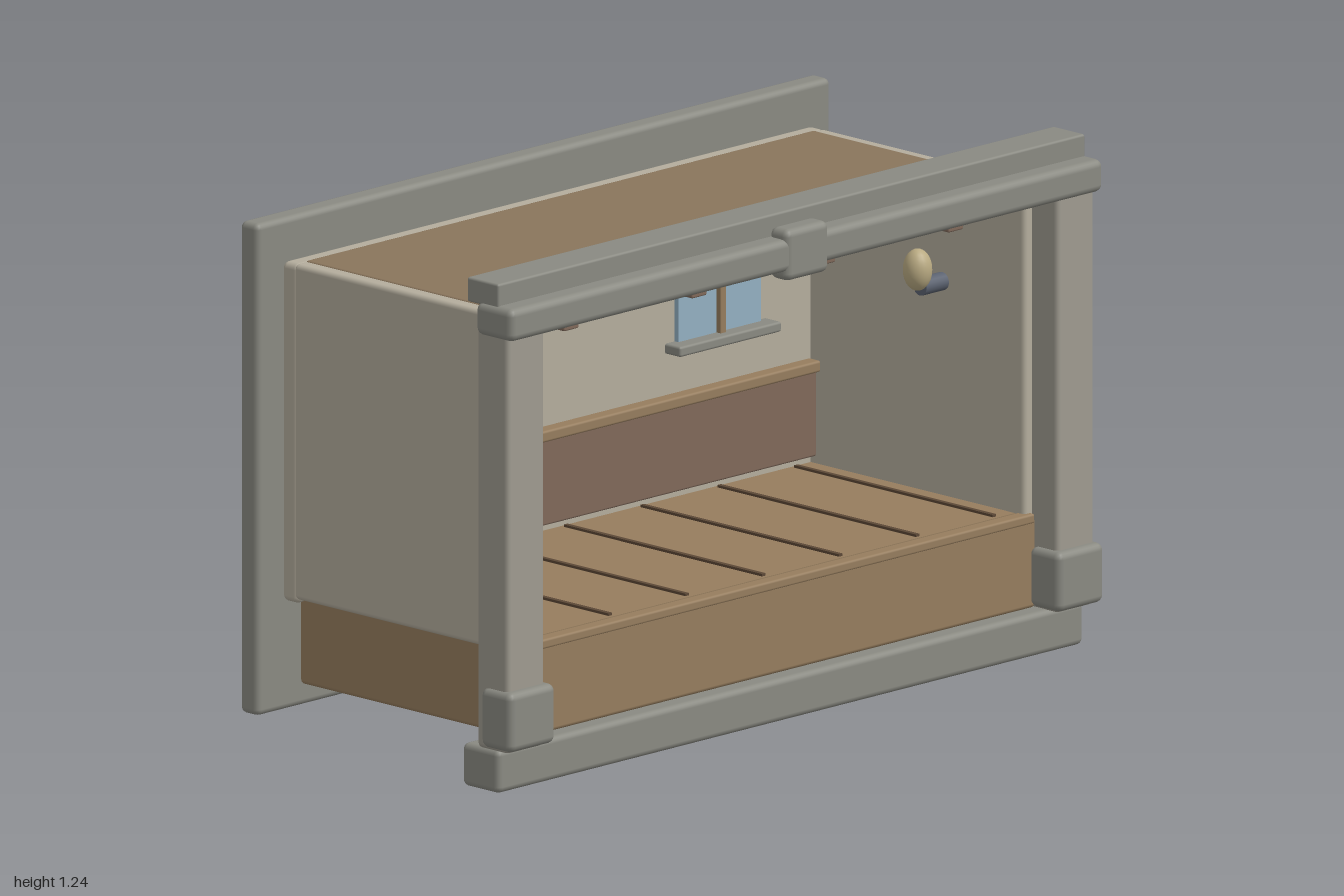
import * as THREE from 'three';
import { RoundedBoxGeometry } from 'three/addons/geometries/RoundedBoxGeometry.js';

const mat = (color) => new THREE.MeshStandardMaterial({ color });
const stone = mat(0x8a8a82), paleStone = mat(0x9f9b90), plaster = mat(0xb4ad9d);
const wood = mat(0x967d5e), panelWood = mat(0x80695a), ceilingWood = mat(0x8a755c), seamWood = mat(0x5c4836);
const glassBlue = mat(0x93b0c2), metal = mat(0x5b6270), bulbCream = mat(0xb9aa82);

export function createModel() {
  const model = new THREE.Group();

  const add = (name, geometry, material, parent = model) => {
    const mesh = new THREE.Mesh(geometry, material);
    mesh.name = name;
    parent.add(mesh);
    return mesh;
  };
  // Box given by its extents; r > 0 rounds the edges
  const box = (name, material, [x0, x1], [y0, y1], [z0, z1], r = 0, parent = model) => {
    const size = [x1 - x0, y1 - y0, z1 - z0];
    const geometry = r ? new RoundedBoxGeometry(...size, 2, r) : new THREE.BoxGeometry(...size);
    const mesh = add(name, geometry, material, parent);
    mesh.position.set((x0 + x1) / 2, (y0 + y1) / 2, (z0 + z1) / 2);
    return mesh;
  };
  // Same box on both sides, x measured outwards from the middle
  const pair = (name, material, [x0, x1], y, z, r) => {
    box(name + 'Left', material, [x0, x1], y, z, r);
    box(name + 'Right', material, [-x1, -x0], y, z, r);
  };

  // Room shell
  box('floorBase', wood, [-0.86, 0.86], [0.105, 0.325], [-0.365, 0.37], 0.01);
  box('backWall', plaster, [-0.885, 0.885], [0.305, 1.13], [-0.4, -0.345], 0.015);
  pair('sideWall', plaster, [0.83, 0.885], [0.315, 1.13], [-0.36, 0.36], 0.012);
  box('ceiling', ceilingWood, [-0.85, 0.85], [1.08, 1.133], [-0.355, 0.365], 0.006);
  box('backPanel', stone, [-0.96, 0.96], [0.035, 1.23], [-0.465, -0.405], 0.015);

  // Floor boards with dark seams
  box('floorBoards', wood, [-0.83, 0.83], [0.315, 0.332], [-0.345, 0.33]);
  box('floorFrontTrim', wood, [-0.855, 0.855], [0.31, 0.334], [0.335, 0.372], 0.006);
  for (let i = -3; i <= 3; i++) {
    const x = i * 0.257;
    box('floorSeam', seamWood, [x - 0.006, x + 0.006], [0.328, 0.338], [-0.335, 0.32]);
  }

  // Wainscot on the back wall
  box('wainscot', panelWood, [-0.83, 0.83], [0.35, 0.56], [-0.35, -0.325], 0.005);
  box('wainscotRail', wood, [-0.83, 0.83], [0.557, 0.585], [-0.35, -0.31], 0.006);

  // Ceiling beams
  for (const x of [-0.643, -0.215, 0.215, 0.643])
    box('ceilingBeam', panelWood, [x - 0.025, x + 0.025], [1.05, 1.09], [-0.34, 0.32], 0.004);

  // Arched windows
  for (const side of [-1, 1]) {
    const win = new THREE.Group();
    win.name = side > 0 ? 'windowLeft' : 'windowRight';
    win.position.set(side * 0.513, 0, -0.345);
    model.add(win);
    box('glass', glassBlue, [-0.138, 0.138], [0.7, 0.99], [-0.01, 0.012], 0, win);
    const arch = add('glassArch', new THREE.CylinderGeometry(0.133, 0.133, 0.02, 32), glassBlue, win);
    arch.rotation.x = Math.PI / 2;
    arch.position.set(0, 0.932, 0);
    box('uprightBar', wood, [-0.01, 0.01], [0.68, 1.06], [0, 0.026], 0.003, win);
    box('crossBar', wood, [-0.138, 0.138], [0.838, 0.856], [0, 0.024], 0.003, win);
    box('windowSill', stone, [-0.17, 0.17], [0.685, 0.71], [-0.01, 0.05], 0.006, win);
  }

  // Wall lamps
  for (const side of [-1, 1]) {
    const lamp = new THREE.Group();
    lamp.name = side > 0 ? 'lampLeft' : 'lampRight';
    lamp.position.z = 0.09;
    model.add(lamp);
    const arm = add('lampArm', new THREE.CylinderGeometry(0.022, 0.022, 0.09, 16), metal, lamp);
    arm.rotation.z = Math.PI / 2;
    arm.position.set(side * 0.8, 0.852, 0);
    const bulb = add('lampBulb', new THREE.SphereGeometry(0.035, 20, 14), bulbCream, lamp);
    bulb.scale.y = 1.45;
    bulb.position.set(side * 0.747, 0.895, 0);
  }

  // Stone front frame
  box('frontSill', stone, [-0.98, 0.98], [0, 0.105], [0.288, 0.41], 0.015);
  pair('frontPost', paleStone, [0.857, 0.982], [0.103, 1.13], [0.34, 0.443], 0.012);
  pair('postFoot', stone, [0.84, 0.995], [0.11, 0.255], [0.363, 0.465], 0.018);
  box('lintel', stone, [-0.992, 0.992], [1.108, 1.187], [0.343, 0.465], 0.018);
  box('keystone', stone, [-0.072, 0.072], [1.085, 1.21], [0.405, 0.468], 0.018);
  box('cornice', stone, [-0.982, 0.982], [1.18, 1.24], [0.308, 0.412], 0.006);

  return model;
}
